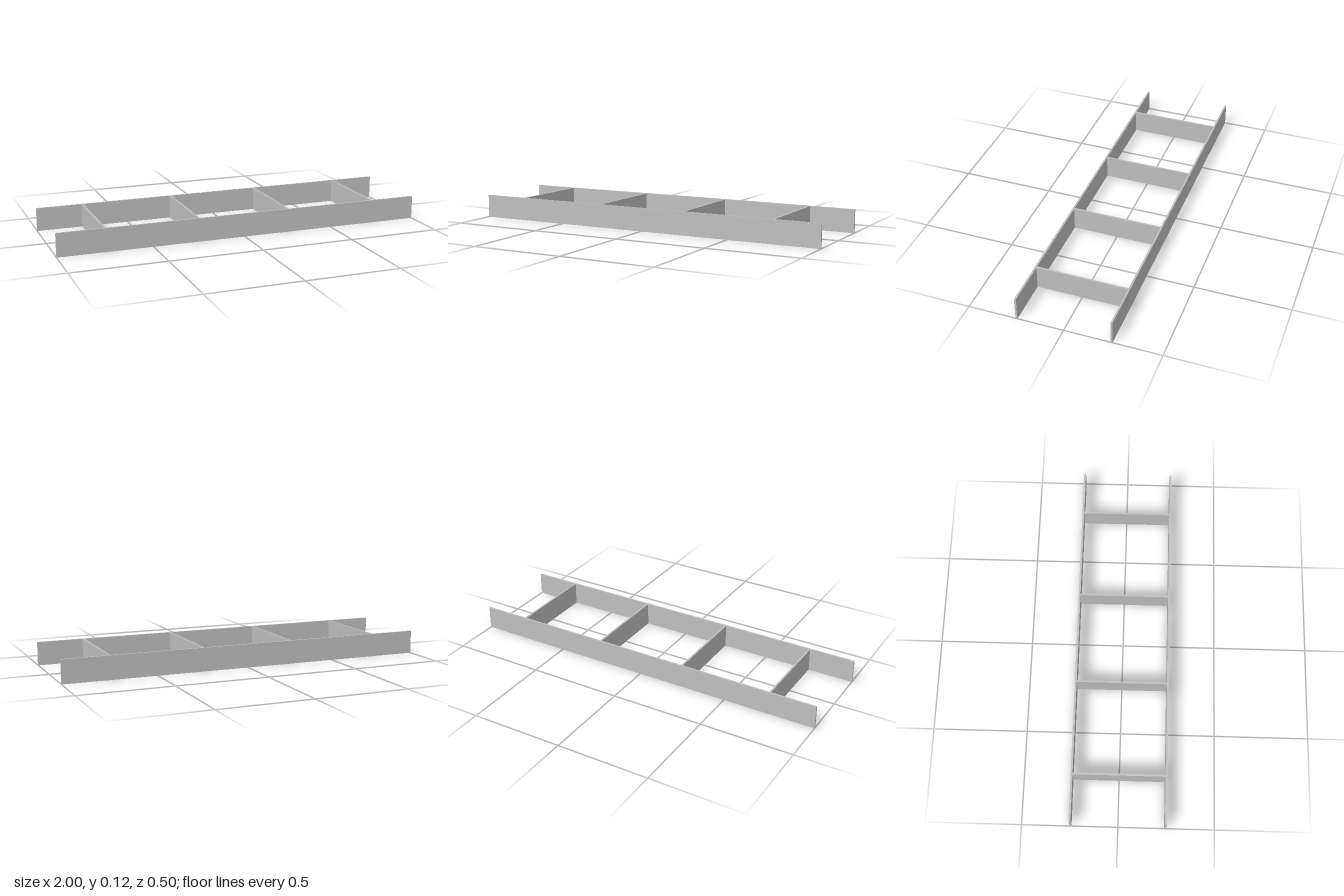
import * as THREE from 'three';

const LENGTH = 2, WIDTH = 0.5, HEIGHT = 0.125, THICK = 0.01;

export function createModel() {
  const model = new THREE.Group();
  model.name = 'ladderFrame';

  const steel = new THREE.MeshStandardMaterial({ color: 0xbfbfbf });
  steel.name = 'plain steel';

  function plate(name, sx, sz, x, z) {
    const mesh = new THREE.Mesh(new THREE.BoxGeometry(sx, HEIGHT, sz), steel);
    mesh.name = name;
    mesh.position.set(x, HEIGHT / 2, z);
    model.add(mesh);
  }

  // Long side rails
  const railZ = (WIDTH - THICK) / 2;
  plate('frontRail', LENGTH, THICK, 0, railZ);
  plate('backRail', LENGTH, THICK, 0, -railZ);

  // Evenly spaced cross plates between the rails
  [-0.75, -0.25, 0.25, 0.75].forEach((x, i) => {
    plate(`crossPlate${i + 1}`, THICK, WIDTH - 2 * THICK, x, 0);
  });

  return model;
}
